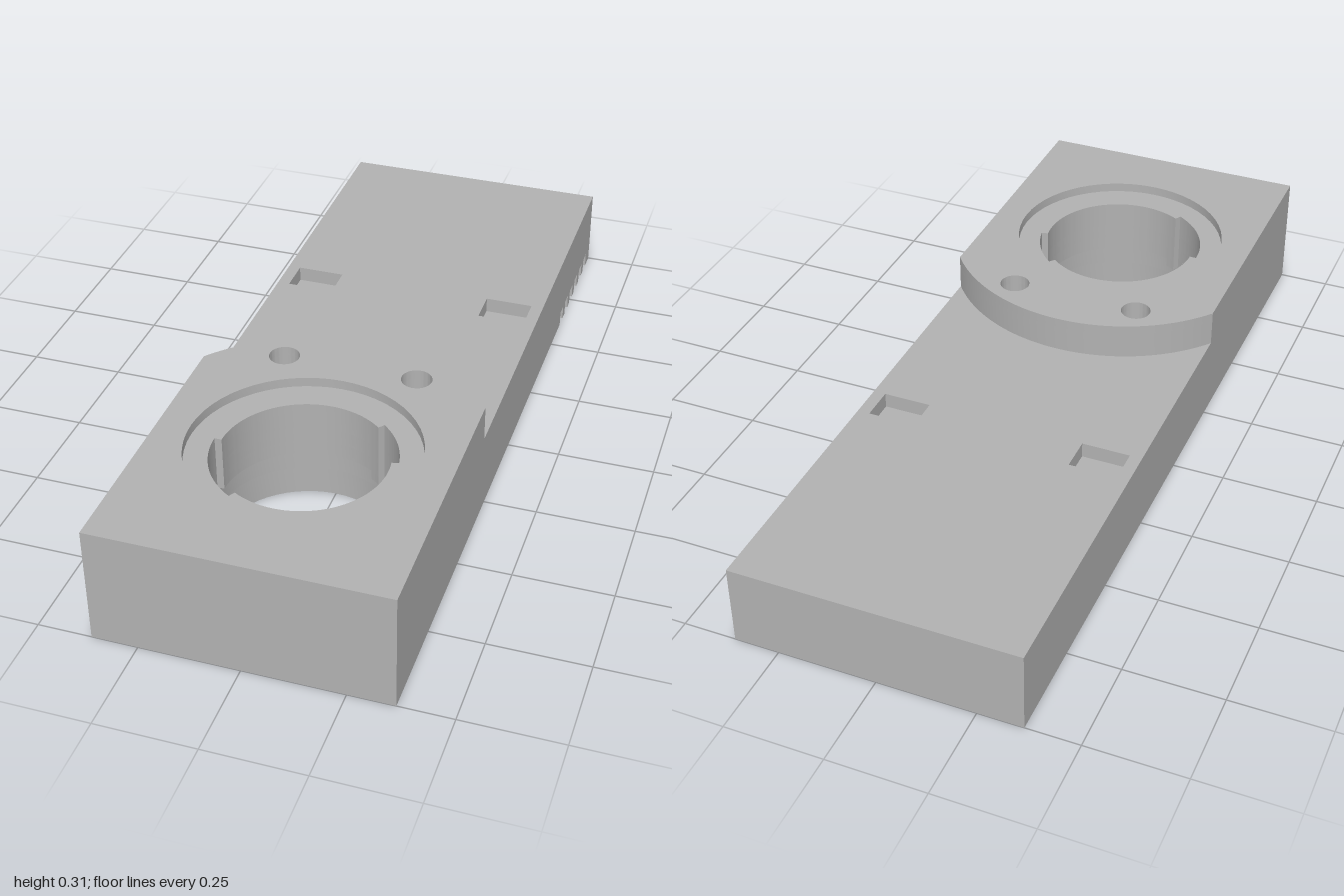
import * as THREE from 'three';
import { toCreasedNormals } from 'three/addons/utils/BufferGeometryUtils.js';

const W = 0.365, L = 1, WALL = 0.063; // half width, half length, wall thickness
const CZ = 0.556;                     // z of the round socket
const CEILING = 0.075, LIP = 0.135, POCKET = 0.173, DECK = 0.213, RECESS = 0.283, TOP = 0.308;
const BORE = 0.225, LIP_R = 0.207, RING_R = 0.284, PAD_R = 0.461;
const rad = THREE.MathUtils.degToRad;

const grey = new THREE.MeshStandardMaterial({ color: 0xb2b2b2 });
grey.name = 'grey plastic';

const circle = (x, z, r) => new THREE.Path().absarc(x, z, r, 0, Math.PI * 2, false);

function rect(Type, x0, x1, z0, z1) {
  const p = new Type();
  p.moveTo(x0, z0).lineTo(x1, z0).lineTo(x1, z1).lineTo(x0, z1).closePath();
  return p;
}

// Round opening with two wider entry slots for the twist lock
function slottedHole() {
  const p = new THREE.Path();
  p.absarc(0, CZ, LIP_R, rad(-10), rad(120), false);
  p.absarc(0, CZ, BORE, rad(120), rad(180), false);
  p.absarc(0, CZ, LIP_R, rad(180), rad(310), false);
  p.absarc(0, CZ, BORE, rad(310), rad(350), false);
  p.closePath();
  return p;
}

// Raised pad outline: straight sides and front, arc at the back
function padShape() {
  const a = Math.acos(W / PAD_R);
  const s = new THREE.Shape();
  s.moveTo(W, L).lineTo(-W, L);
  s.absarc(0, CZ, PAD_R, Math.PI + a, 2 * Math.PI - a, false);
  s.closePath();
  return s;
}

export function createModel() {
  const group = new THREE.Group();

  const add = (name, geo) => {
    const mesh = new THREE.Mesh(geo, grey);
    mesh.name = name;
    group.add(mesh);
  };

  // Plan outline (x, z) made solid between two heights
  const layer = (name, shape, holes, y0, y1) => {
    shape.holes.push(...holes);
    const geo = new THREE.ExtrudeGeometry(shape, { depth: y1 - y0, bevelEnabled: false, curveSegments: 28 });
    geo.rotateX(Math.PI / 2).translate(0, y1, 0);
    add(name, toCreasedNormals(geo, 0.4));
  };

  const box = (name, w, h, d, x, y, z) =>
    add(name, new THREE.BoxGeometry(w, h, d).translate(x, y, z));

  // Skirt walls around the open underside
  box('rightWall', WALL, CEILING, 2 * L, -W + WALL / 2, CEILING / 2, 0);
  for (const [name, s] of [['frontWall', 1], ['backWall', -1]])
    box(name, 2 * (W - WALL), CEILING, WALL, 0, CEILING / 2, s * (L - WALL / 2));

  // Left wall with six vent notches in its lower edge
  const side = new THREE.Shape();
  side.moveTo(-L, 0);
  for (let i = 0; i < 6; i++) {
    const u = 0.608 + i * 0.062 - L + L; // distance behind the middle
    const z = -(0.608 + 5 * 0.062 + 0.608 - u);
    side.lineTo(z - 0.036, 0).lineTo(z - 0.036, 0.04).lineTo(z, 0.04).lineTo(z, 0);
  }
  side.lineTo(L, 0).lineTo(L, CEILING).lineTo(-L, CEILING).closePath();
  const sideGeo = new THREE.ExtrudeGeometry(side, { depth: WALL, bevelEnabled: false });
  sideGeo.rotateY(-Math.PI / 2).translate(W, 0, 0);
  add('leftNotchedWall', sideGeo);

  // Socket ring hanging in the cavity
  const ring = new THREE.Shape().absarc(0, CZ, RING_R, 0, Math.PI * 2, false);
  layer('socketRing', ring, [circle(0, CZ, BORE)], 0, CEILING);

  // Main slab, with two blind pockets in the deck
  const slab = () => rect(THREE.Shape, -W, W, -L, L);
  const pockets = [[-0.333, -0.208], [0.208, 0.333]].map(
    ([x0, x1]) => rect(THREE.Path, x0, x1, -0.35, -0.26));
  layer('slabBottom', slab(), [circle(0, CZ, BORE)], CEILING, LIP);
  layer('slabMiddle', slab(), [slottedHole()], LIP, POCKET);
  layer('slabDeck', slab(), [slottedHole(), ...pockets], POCKET, DECK);

  // Raised pad with blind screw holes and a shallow round recess
  const screws = () => [-1, 1].map(s => circle(s * 0.173, 0.21, 0.039));
  layer('padBase', padShape(), [slottedHole(), ...screws()], DECK, RECESS);
  layer('padTop', padShape(), [circle(0, CZ, RING_R), ...screws()], RECESS, TOP);

  // Small stops under the lip beside each entry slot
  for (const end of [120, 310]) {
    const stop = new THREE.Shape();
    stop.absarc(0, CZ, BORE + 0.005, rad(end - 8), rad(end), false);
    stop.absarc(0, CZ, LIP_R, rad(end), rad(end - 8), true);
    stop.closePath();
    layer('lockStop', stop, [], LIP - 0.025, LIP);
  }

  return group;
}
